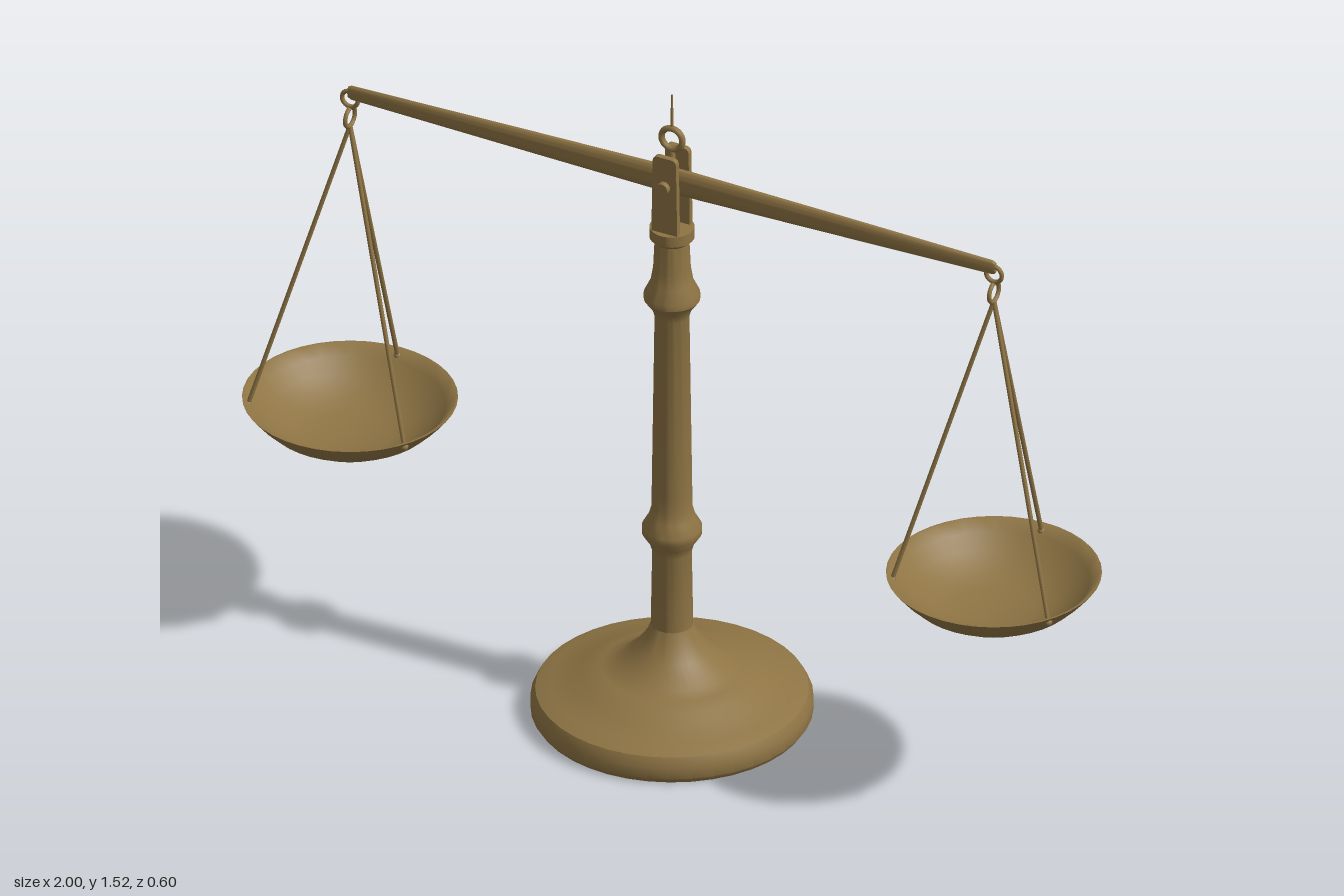
import * as THREE from 'three';
import { toCreasedNormals } from 'three/addons/utils/BufferGeometryUtils.js';

const brass = new THREE.MeshStandardMaterial({ color: 0x8e7444 });
brass.name = 'agedBrass';

function add(parent, name, geometry, x = 0, y = 0, z = 0) {
  const mesh = new THREE.Mesh(geometry, brass);
  mesh.name = name;
  mesh.position.set(x, y, z);
  parent.add(mesh);
  return mesh;
}

// Turned part from [radius, height] pairs, listed from the outside bottom up
function turned(points, crease = 0.6) {
  const profile = points.map(([r, y]) => new THREE.Vector2(r, y));
  return toCreasedNormals(new THREE.LatheGeometry(profile, 40), crease);
}

// Straight round rod between two points
function rod(a, b, radius) {
  return new THREE.TubeGeometry(new THREE.LineCurve3(a, b), 1, radius, 8);
}

// One hanging pan with its rings and three cords, hung below the beam end
function createPan(name) {
  const pan = new THREE.Group();
  pan.name = name;
  add(pan, 'beamRing', new THREE.TorusGeometry(0.019, 0.005, 8, 20), 0, 1.298, 0);
  add(pan, 'cordRing', new THREE.TorusGeometry(0.022, 0.005, 8, 20), 0, 1.253, 0).rotation.y = Math.PI / 2;
  const top = new THREE.Vector3(0, 1.232, 0);
  for (let i = 0; i < 3; i++) {
    const a = -Math.PI / 2 + i * Math.PI * 2 / 3;
    const end = new THREE.Vector3(Math.cos(a) * 0.216, 0.548, Math.sin(a) * 0.216);
    add(pan, 'cord', rod(top, end, 0.005));
    add(pan, 'cordKnot', new THREE.SphereGeometry(0.009, 10, 8), end.x, end.y, end.z);
  }
  // Thin-walled dish: outside up to the rim, then back down the inside
  add(pan, 'dish', turned([
    [0, 0.462], [0.09, 0.466], [0.135, 0.48], [0.18, 0.508], [0.209, 0.537], [0.229, 0.562],
    [0.223, 0.562], [0.203, 0.541], [0.175, 0.514], [0.132, 0.487], [0.088, 0.473], [0, 0.469],
  ], 0.9));
  return pan;
}

export function createModel() {
  const model = new THREE.Group();
  model.name = 'balanceScale';

  // Pedestal and column
  add(model, 'base', turned([
    [0, 0], [0.292, 0], [0.3, 0.012], [0.3, 0.04], [0.29, 0.06], [0.26, 0.072], [0.21, 0.085],
    [0.185, 0.102], [0.15, 0.112], [0.122, 0.122], [0.08, 0.16], [0.055, 0.195], [0.045, 0.22],
  ]));
  add(model, 'column', turned([
    [0.045, 0.22], [0.042, 0.4], [0.048, 0.42], [0.064, 0.445], [0.064, 0.46], [0.05, 0.485],
    [0.043, 0.51], [0.043, 0.55], [0.037, 0.98], [0.043, 1.0], [0.06, 1.023], [0.06, 1.036],
    [0.046, 1.065], [0.04, 1.1], [0.037, 1.165], [0.048, 1.175], [0.048, 1.2], [0, 1.2],
  ]));

  // Fork cheeks carrying the axle
  const cheek = new THREE.Shape();
  cheek.moveTo(-0.031, 0);
  cheek.lineTo(0.031, 0);
  cheek.lineTo(0.028, 0.178);
  cheek.quadraticCurveTo(0.027, 0.19, 0.015, 0.19);
  cheek.lineTo(-0.015, 0.19);
  cheek.quadraticCurveTo(-0.027, 0.19, -0.028, 0.178);
  cheek.closePath();
  const cheekGeo = new THREE.ExtrudeGeometry(cheek, { depth: 0.013, bevelEnabled: false });
  add(model, 'frontCheek', cheekGeo, 0, 1.195, 0.022);
  add(model, 'backCheek', cheekGeo, 0, 1.195, -0.035);
  add(model, 'axle', new THREE.CylinderGeometry(0.014, 0.014, 0.096, 16), 0, 1.314, 0).rotation.x = Math.PI / 2;

  // Flattened, tapering beam
  const beam = add(model, 'beam', turned([
    [0, -0.775], [0.013, -0.775], [0.017, -0.768], [0.026, -0.35], [0.032, -0.04],
    [0.032, 0.04], [0.026, 0.35], [0.017, 0.768], [0.013, 0.775], [0, 0.775],
  ]), 0, 1.314, 0);
  beam.rotation.z = Math.PI / 2;
  beam.scale.z = 0.4;

  // Top ring and pointer
  add(model, 'topRing', new THREE.TorusGeometry(0.025, 0.007, 10, 28), 0, 1.416, 0);
  add(model, 'ringStem', new THREE.CylinderGeometry(0.006, 0.01, 0.06, 12), 0, 1.363, 0);
  add(model, 'pointer', new THREE.CylinderGeometry(0.002, 0.004, 0.085, 8), 0, 1.482, 0);

  // Pans on both sides
  for (const side of [-1, 1]) {
    const pan = createPan(side > 0 ? 'leftPan' : 'rightPan');
    pan.position.x = side * 0.771;
    model.add(pan);
  }
  return model;
}
